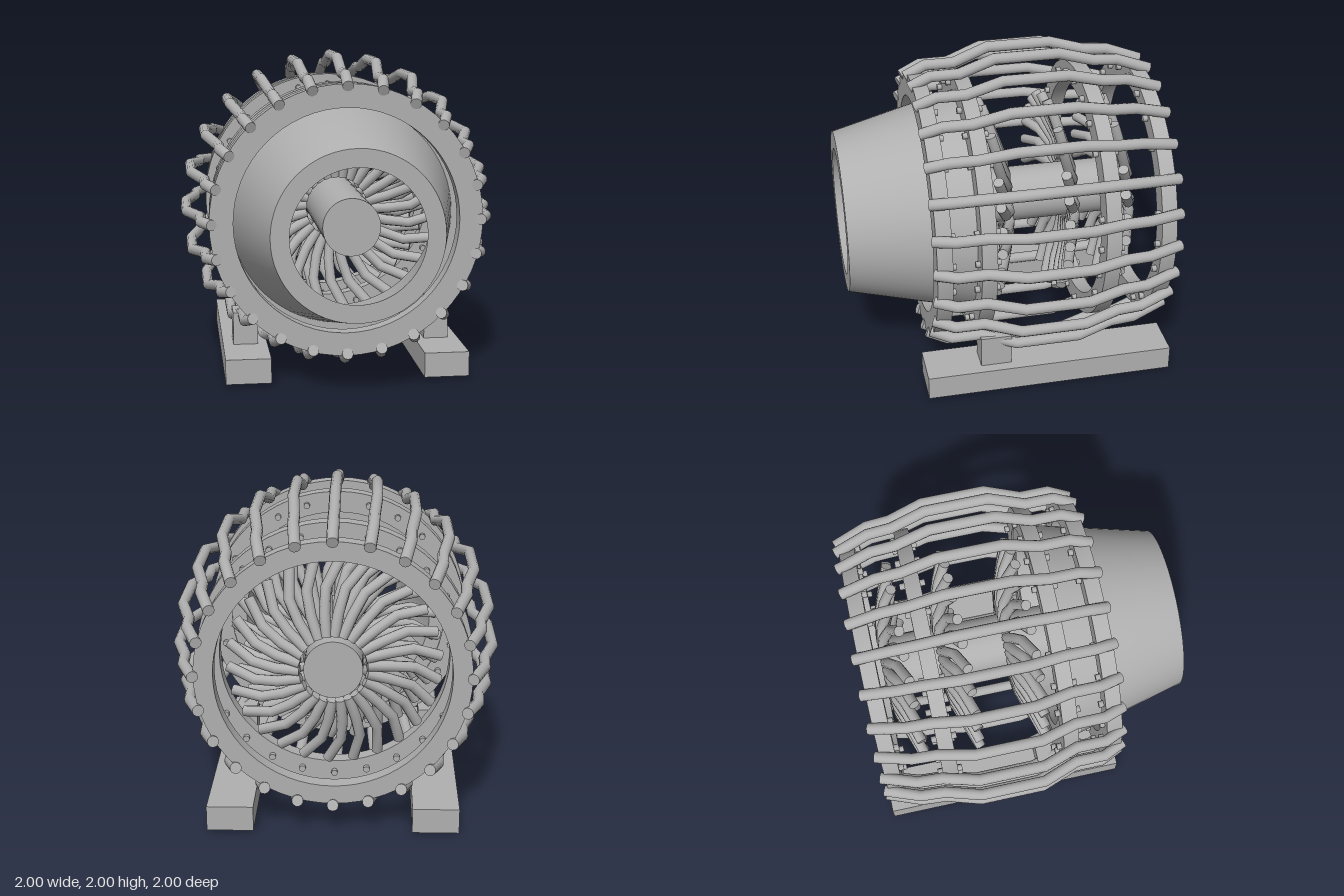
import * as THREE from 'three';
import { toCreasedNormals } from 'three/addons/utils/BufferGeometryUtils.js';

const V = (x, y, z) => new THREE.Vector3(x, y, z);
const grey = new THREE.MeshStandardMaterial({ color: 0xb0b0b0 });
grey.name = 'grey metal';

// Capped round rod swept along a kinked path
function rodGeometry(path, radius, sides, ref) {
  const pos = [], idx = [];
  path.forEach((p, i) => {
    const t = V(0, 0, 0);
    if (i > 0) t.add(p.clone().sub(path[i - 1]).normalize());
    if (i < path.length - 1) t.add(path[i + 1].clone().sub(p).normalize());
    t.normalize();
    const side = t.clone().cross(ref).normalize();
    const up = side.clone().cross(t);
    for (let j = 0; j < sides; j++) {
      const a = (j / sides) * Math.PI * 2;
      const q = p.clone().addScaledVector(side, radius * Math.cos(a)).addScaledVector(up, radius * Math.sin(a));
      pos.push(q.x, q.y, q.z);
    }
  });
  const last = path.length - 1;
  for (let j = 0; j < sides; j++) {
    const k = (j + 1) % sides;
    for (let i = 0; i < last; i++) {
      const a = i * sides + j, b = i * sides + k;
      idx.push(a, a + sides, b, b, a + sides, b + sides);
    }
    if (j > 0 && k > 0) {
      idx.push(0, j, k);
      idx.push(last * sides, last * sides + k, last * sides + j);
    }
  }
  const g = new THREE.BufferGeometry();
  g.setAttribute('position', new THREE.Float32BufferAttribute(pos, 3));
  g.setIndex(idx);
  return toCreasedNormals(g, 0.9);
}

// Closed profile of [radius, z] turned around the z axis
function turned(profile, segments = 64) {
  const g = new THREE.LatheGeometry(profile.map(([r, z]) => new THREE.Vector2(r, z)), segments);
  g.rotateX(Math.PI / 2);
  return toCreasedNormals(g, 0.5);
}

const ringProfile = (inner, outer, z0, z1) => [[inner, z0], [outer, z0], [outer, z1], [inner, z1], [inner, z0]];

function add(parent, name, geometry) {
  const m = new THREE.Mesh(geometry, grey);
  m.name = name;
  parent.add(m);
  return m;
}

// Copies of one geometry spaced evenly around the z axis
function around(parent, name, geometry, count, offset = 0) {
  const g = new THREE.Group();
  g.name = name + 's';
  for (let i = 0; i < count; i++) {
    add(g, name, geometry).rotation.z = offset + (i / count) * Math.PI * 2;
  }
  parent.add(g);
  return g;
}

export function createModel() {
  const model = new THREE.Group();
  model.name = 'caged turbine';
  const engine = new THREE.Group();
  engine.name = 'engine';
  engine.position.y = 1;
  model.add(engine);

  // Hollow tapered nozzle
  add(engine, 'nozzle', turned([[0.6, 0.16], [0.71, 0.16], [0.71, 0.2], [0.51, 1], [0.4, 1], [0.6, 0.16]]));

  // Central hub
  const hub = new THREE.CylinderGeometry(0.175, 0.175, 1.55, 48);
  hub.rotateX(Math.PI / 2);
  hub.translate(0, 0, -0.075);
  add(engine, 'hub', hub);

  // Support rings with bolts on their inner faces
  const rings = [
    [0.42, 0.515, 0.84, [-1]],
    [0.15, 0.245, 0.83, [-1, 1]],
    [-0.61, -0.515, 0.83, [-1, 1]],
    [-0.96, -0.865, 0.81, [1]],
  ];
  for (const [z0, z1, outer, faces] of rings) {
    add(engine, 'supportRing', turned(ringProfile(0.695, outer, z0, z1)));
    for (const f of faces) {
      const bolt = new THREE.CylinderGeometry(0.02, 0.02, 0.04, 8);
      bolt.rotateX(Math.PI / 2);
      bolt.translate(0, 0.765, f > 0 ? z1 + 0.01 : z0 - 0.01);
      around(engine, 'bolt', bolt, 24);
    }
  }

  // Bent cage bars
  const barPath = [
    [0.825, 0.53], [0.885, 0.4], [0.885, 0.22], [0.965, 0],
    [0.965, -0.4], [0.9, -0.62], [0.89, -0.77], [0.81, -0.985],
  ].map(([r, z]) => V(0, r, z));
  around(engine, 'cageBar', rodGeometry(barPath, 0.035, 12, V(1, 0, 0)), 24);

  // Three stages of swept blades
  const bladePath = [
    [0.2, 0, -0.045], [0.34, 0.05, -0.025], [0.48, 0.11, 0.025], [0.635, 0.26, 0.08],
  ].map(([r, a, z]) => V(r * Math.cos(a), r * Math.sin(a), z));
  const blade = rodGeometry(bladePath, 0.033, 10, V(0, 0, 1));
  for (const z of [0, -0.42, -0.775]) {
    around(engine, 'blade', blade, 26, 0.178 - 0.26).position.z = z;
  }

  // Skids and their posts
  for (const s of [1, -1]) {
    add(model, 'skid', new THREE.BoxGeometry(0.28, 0.155, 1.57)).position.set(s * 0.615, 0.0975, -0.21);
    add(model, 'post', new THREE.BoxGeometry(0.155, 0.21, 0.195)).position.set(s * 0.612, 0.275, 0.13);
  }
  return model;
}
